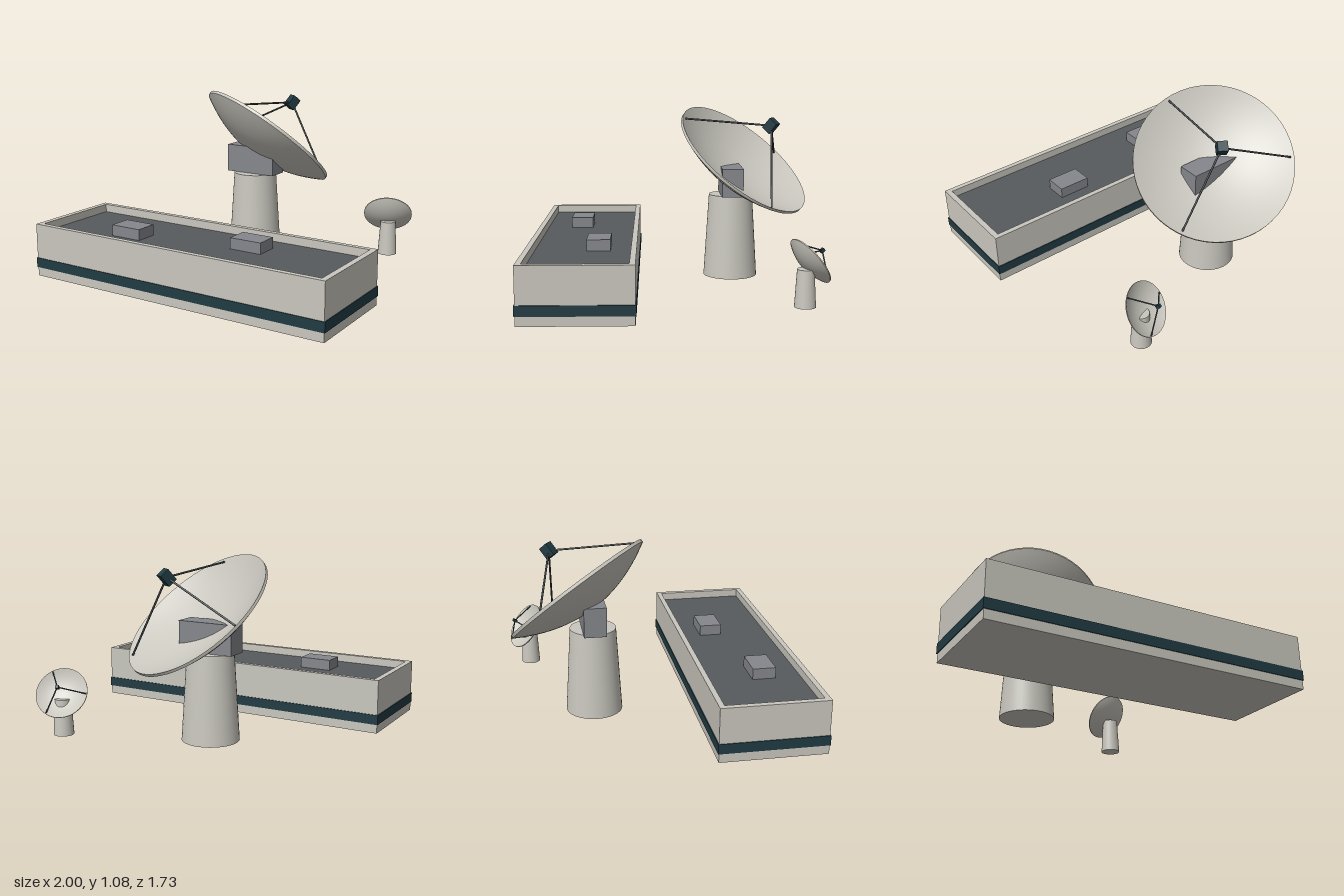
import * as THREE from 'three';

const mat = (name, color) => Object.assign(new THREE.MeshStandardMaterial({ color }), { name });

export function createModel() {
  const model = new THREE.Group();
  model.name = 'groundStation';
  const pale = mat('paleConcrete', 0xc9c7be);
  const slate = mat('slateRoof', 0x575b5e);
  const grey = mat('equipmentGrey', 0x85878c);
  const navy = mat('darkTeal', 0x213b43);
  const steel = mat('darkSteel', 0x44484b);

  const add = (parent, name, geometry, material, x = 0, y = 0, z = 0) => {
    const mesh = new THREE.Mesh(geometry, material);
    mesh.name = name;
    mesh.position.set(x, y, z);
    parent.add(mesh);
    return mesh;
  };
  const box = (parent, name, w, h, d, material, x, y, z) =>
    add(parent, name, new THREE.BoxGeometry(w, h, d), material, x, y, z);

  // Long low building with a stripe, a parapet and a sunken roof
  const building = new THREE.Group();
  building.name = 'building';
  building.position.z = 0.541;
  model.add(building);
  const W = 1.99, D = 0.635;
  box(building, 'walls', W, 0.27, D, pale, 0, 0.135, 0);
  box(building, 'stripe', 2, 0.06, D + 0.01, navy, 0, 0.085, 0);
  box(building, 'roof', W - 0.07, 0.01, D - 0.06, slate, 0, 0.275, 0);
  const rect = (Type, w, h) => new Type([
    new THREE.Vector2(-w / 2, -h / 2), new THREE.Vector2(w / 2, -h / 2),
    new THREE.Vector2(w / 2, h / 2), new THREE.Vector2(-w / 2, h / 2),
  ]);
  const ring = rect(THREE.Shape, W, D);
  ring.holes.push(rect(THREE.Path, W - 0.07, D - 0.065));
  const parapet = new THREE.ExtrudeGeometry(ring, { depth: 0.06, bevelEnabled: false });
  parapet.rotateX(-Math.PI / 2);
  add(building, 'parapet', parapet, pale, 0, 0.27, 0);
  for (const [x, z] of [[-0.445, 0.06], [0.307, -0.09]]) {
    box(building, 'roofUnit', 0.205, 0.07, 0.14, grey, x, 0.312, z);
  }

  // Reflector profile: outer bowl, thin rim, inner bowl
  const bowl = (R, depth, thickness) => {
    const points = [];
    const n = 14;
    for (let i = 0; i <= n; i++) points.push(new THREE.Vector2(R * i / n, depth * (i / n) ** 2));
    points.push(points[n].clone());
    for (let i = n; i >= 0; i--) {
      const p = new THREE.Vector2(R * i / n, thickness + depth * (i / n) ** 2);
      points.push(p);
      if (i === n) points.push(p.clone());
    }
    return new THREE.LatheGeometry(points, 56);
  };

  // Tilted dish with a feed horn held by three struts; origin at rim centre
  const addDish = (parent, name, s, strutRadius, position, tilt, yaw) => {
    const dish = new THREE.Group();
    dish.name = name;
    dish.position.set(...position);
    dish.rotation.set(tilt, yaw, 0, 'YXZ');
    parent.add(dish);
    add(dish, 'reflector', bowl(0.482 * s, 0.143 * s, 0.019 * s), pale, 0, -0.153 * s, 0);
    const feed = new THREE.Vector3(0, 0.286 * s, 0);
    box(dish, 'feedHorn', 0.06 * s, 0.08 * s, 0.06 * s, navy, 0, feed.y, 0);
    for (let k = 0; k < 3; k++) {
      const a = k * Math.PI * 2 / 3;
      const foot = new THREE.Vector3(Math.cos(a) * 0.46 * s, 0, Math.sin(a) * 0.46 * s);
      const strut = add(dish, 'feedStrut',
        new THREE.CylinderGeometry(strutRadius, strutRadius, foot.distanceTo(feed), 8), steel);
      strut.position.copy(foot).add(feed).multiplyScalar(0.5);
      strut.quaternion.setFromUnitVectors(new THREE.Vector3(0, 1, 0), feed.clone().sub(foot).normalize());
    }
  };
  const rad = THREE.MathUtils.degToRad;

  // Large antenna
  const large = new THREE.Group();
  large.name = 'largeAntenna';
  model.add(large);
  add(large, 'pedestal', new THREE.CylinderGeometry(0.14, 0.173, 0.53, 40), pale, -0.18, 0.265, -0.373);
  box(large, 'mount', 0.35, 0.18, 0.135, grey, -0.18, 0.62, -0.374);
  addDish(large, 'largeDish', 1, 0.006, [-0.135, 0.764, -0.455], rad(40.5), rad(148));

  // Small antenna
  const small = new THREE.Group();
  small.name = 'smallAntenna';
  model.add(small);
  add(small, 'pedestal', new THREE.CylinderGeometry(0.049, 0.062, 0.22, 32), pale, 0.64, 0.11, -0.732);
  addDish(small, 'smallDish', 0.327, 0.004, [0.625, 0.263, -0.76], rad(55), rad(202));

  return model;
}
